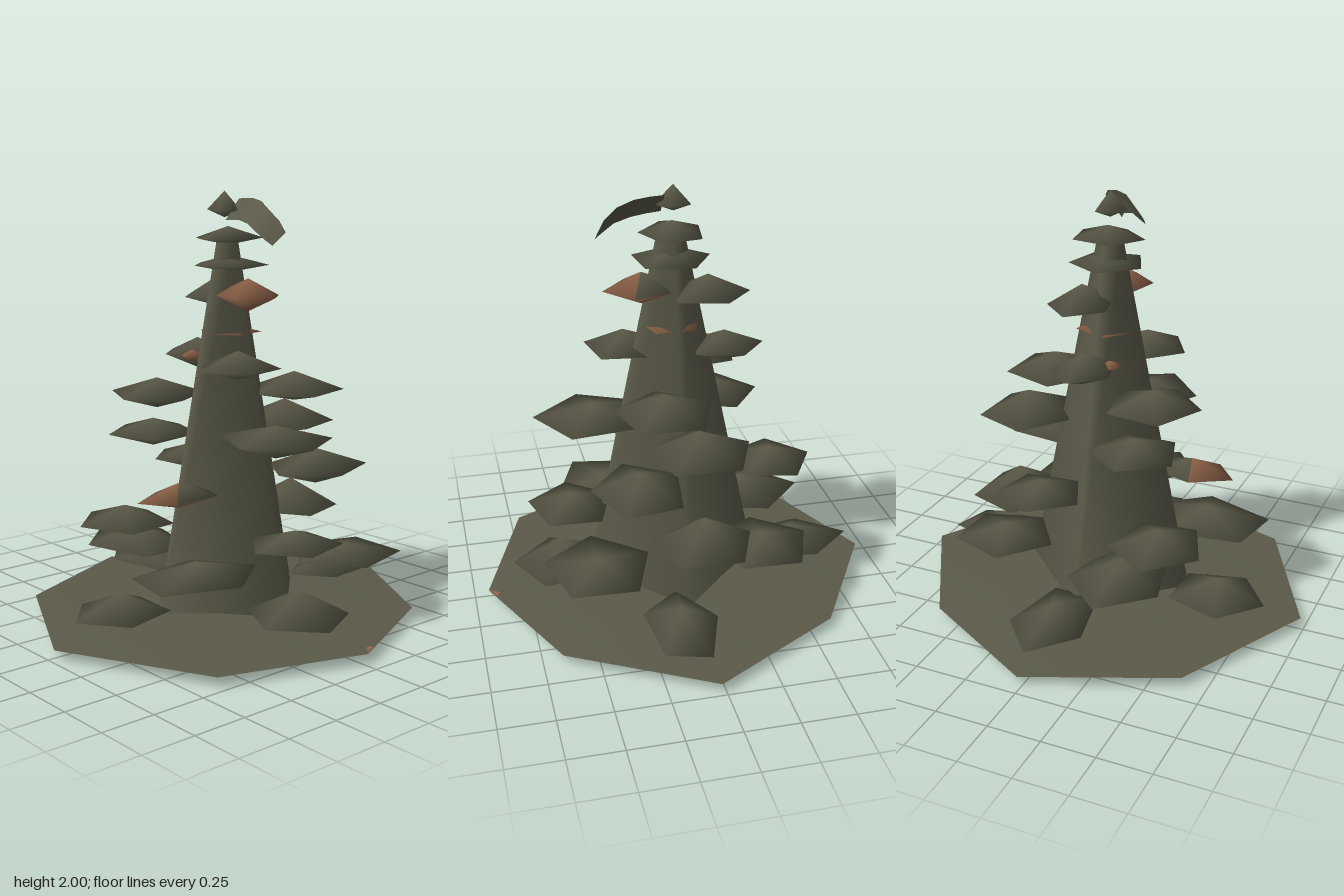
import * as THREE from 'three';

const green = new THREE.MeshStandardMaterial({ color: 0x5b5a49, side: THREE.DoubleSide });
green.name = 'dull green';
const brown = new THREE.MeshStandardMaterial({ color: 0x8f644a, side: THREE.DoubleSide });
brown.name = 'rusty brown';

function buildGeometry(points, index) {
  const g = new THREE.BufferGeometry();
  g.setAttribute('position', new THREE.Float32BufferAttribute(points.flat(), 3));
  g.setIndex(index);
  g.computeVertexNormals();
  return g;
}

// Five-sided double pyramid filling the box x, y, z; y = [bottom, rim, top].
// rot is the angle of the first corner in degrees; isBrown(angle, upper) picks brown faces.
function clumpGeometry([x0, x1], [yb, ym, yt], [z0, z1], rot, isBrown) {
  const angles = [0, 1, 2, 3, 4].map(k => THREE.MathUtils.degToRad(rot + k * 72));
  const cs = angles.map(Math.cos), sn = angles.map(Math.sin);
  const fit = (v, list, a, b) => {
    const lo = Math.min(...list), hi = Math.max(...list);
    return a + (b - a) * (v - lo) / (hi - lo);
  };
  const fx = v => fit(v, cs, x0, x1), fz = v => fit(v, sn, z0, z1);
  const points = angles.map((a, k) => [fx(cs[k]), ym, fz(sn[k])]);
  points.push([fx(0), yt, fz(0)], [fx(0), yb, fz(0)]);
  const faces = [[], []];
  for (let k = 0; k < 5; k++) {
    const n = (k + 1) % 5, mid = angles[k] + Math.PI / 5;
    faces[isBrown(mid, true) ? 1 : 0].push(5, n, k);
    faces[isBrown(mid, false) ? 1 : 0].push(6, k, n);
  }
  const g = buildGeometry(points, faces.flat());
  g.addGroup(0, faces[0].length, 0);
  g.addGroup(faces[0].length, faces[1].length, 1);
  return g;
}

export function createModel() {
  const model = new THREE.Group();
  model.name = 'tree';
  const add = (name, geometry, material) => {
    const mesh = new THREE.Mesh(geometry, material);
    mesh.name = name;
    model.add(mesh);
    return mesh;
  };
  const clump = (name, x, y, z, rot = 20, isBrown = () => false) =>
    add(name, clumpGeometry(x, y, z, rot, isBrown), [green, brown]);

  // Four-sided tapering trunk, corners on the axes
  const trunk = add('trunk', new THREE.CylinderGeometry(0.06, 0.435, 1.8, 4, 1, true), green);
  trunk.position.set(0.025, 0.9, -0.005);

  // Low eight-sided ground skirt
  const rim = [[0.02, -0.98], [0.66, -0.62], [0.935, -0.02], [0.71, 0.64],
    [0.02, 0.98], [-0.66, 0.64], [-0.945, -0.02], [-0.6, -0.62]];
  const skirtPoints = [[0.02, 0.11, 0], ...rim.map(([x, z]) => [x, 0.045, z])];
  const skirtFaces = rim.flatMap((_, k) => [0, (k + 1) % 8 + 1, k + 1]);
  add('groundSkirt', buildGeometry(skirtPoints, skirtFaces), green);
  add('skirtPatch', buildGeometry(
    [[0.932, 0.049, -0.02], [0.9, 0.051, -0.095], [0.885, 0.053, -0.06]], [0, 1, 2]), brown);

  // Ground tier
  clump('groundClumpLeft', [0.34, 0.8], [0.08, 0.125, 0.255], [-0.17, 0.27], 10);
  clump('groundClumpRight', [-0.88, -0.33], [0.08, 0.13, 0.21], [-0.2, 0.16], 36);
  clump('groundClumpFront', [-0.25, 0.16], [0.07, 0.11, 0.2], [0.38, 0.82], 20);
  clump('groundClumpBack', [-0.06, 0.27], [0.07, 0.125, 0.225], [-0.89, -0.35], 28);

  // Second tier, on the diagonals
  clump('lowClumpFrontLeft', [0.07, 0.53], [0.27, 0.32, 0.39], [0.08, 0.69], 62);
  clump('lowClumpBackLeft', [0.2, 0.69], [0.27, 0.32, 0.365], [-0.6, -0.08], 20);
  clump('lowClumpFrontRight', [-0.69, -0.13], [0.25, 0.305, 0.39], [0.0, 0.45], 36);
  clump('lowClumpBackRight', [-0.55, -0.1], [0.3, 0.36, 0.42], [-0.6, -0.15], 20);

  // Third tier
  clump('thirdClumpLeft', [0.31, 0.71], [0.4, 0.445, 0.51], [-0.17, 0.25], 20);
  clump('thirdClumpFront', [-0.53, -0.07], [0.4, 0.45, 0.53], [0.16, 0.59], 30);
  clump('thirdClumpBack', [-0.26, 0.2], [0.4, 0.44, 0.58], [-0.66, -0.24], 20);

  // Fourth tier, with one half brown clump
  clump('middleClumpRight', [-0.62, -0.24], [0.61, 0.675, 0.74], [-0.35, 0.05], 30);
  clump('middleClumpFront', [0.0, 0.25], [0.6, 0.65, 0.715], [0.18, 0.59], 28,
    (a, upper) => !upper || Math.sin(a) > 0.5);
  clump('middleClumpBack', [0.05, 0.47], [0.62, 0.7, 0.79], [-0.61, -0.1], 10);

  // Fifth tier
  clump('fifthClumpLeft', [0.14, 0.67], [0.82, 0.905, 0.97], [-0.2, 0.28], 10);
  clump('fifthClumpRight', [-0.46, -0.06], [0.81, 0.875, 0.94], [0.02, 0.44], 36);
  clump('fifthClumpBack', [-0.26, 0.22], [0.82, 0.88, 0.99], [-0.61, -0.18], 20);

  // Sixth tier
  clump('sixthClumpFront', [-0.35, 0.09], [1.01, 1.075, 1.15], [0.08, 0.5], 8);
  clump('sixthClumpBack', [-0.1, 0.35], [1.01, 1.06, 1.15], [-0.54, -0.1], 20);

  // Seventh tier, with a brown spot
  clump('upperClumpRight', [-0.41, -0.07], [1.16, 1.23, 1.305], [-0.18, 0.12], 36);
  clump('upperClumpLeft', [0.03, 0.4], [1.165, 1.215, 1.295], [-0.07, 0.3], 25);
  clump('upperBrownSpot', [-0.2, -0.09], [1.205, 1.235, 1.26], [0.02, 0.125], 20, () => true);

  // Brown collar showing through the trunk faces
  clump('brownCollar', [-0.12, 0.17], [1.33, 1.355, 1.39], [-0.14, 0.14], 20, () => true);

  // Crown
  clump('crownClumpRight', [-0.33, 0.03], [1.46, 1.505, 1.6], [-0.22, 0.07], 36);
  clump('crownClumpLeft', [0.02, 0.34], [1.46, 1.53, 1.61], [-0.15, 0.13], 0,
    (a, upper) => !upper || Math.sin(a) > 0.5 || Math.cos(a) > 0.5);
  clump('crownRingLower', [-0.16, 0.19], [1.63, 1.665, 1.71], [-0.18, 0.16], 30);
  clump('crownRingUpper', [-0.12, 0.17], [1.755, 1.785, 1.84], [-0.17, 0.16], 10);
  clump('tip', [-0.06, 0.1], [1.88, 1.915, 2.0], [-0.07, 0.07], 0);

  // Drooping pennant: columns of x, top y, bottom y and sideways wave
  const columns = [[0.06, 1.965, 1.87, 0], [0.13, 1.968, 1.87, -0.02], [0.2, 1.955, 1.855, -0.01],
    [0.27, 1.92, 1.825, 0.01], [0.33, 1.87, 1.785, 0], [0.36, 1.82, 1.765, -0.01]];
  const pennantPoints = columns.flatMap(([x, top, bottom, z]) =>
    [[x, top, z - 0.045], [x, bottom, z + 0.035]]);
  const pennantFaces = [];
  for (let k = 0; k < columns.length - 1; k++) {
    const a = 2 * k;
    pennantFaces.push(a, a + 1, a + 2, a + 1, a + 3, a + 2);
  }
  add('pennant', buildGeometry(pennantPoints, pennantFaces), green);

  return model;
}
